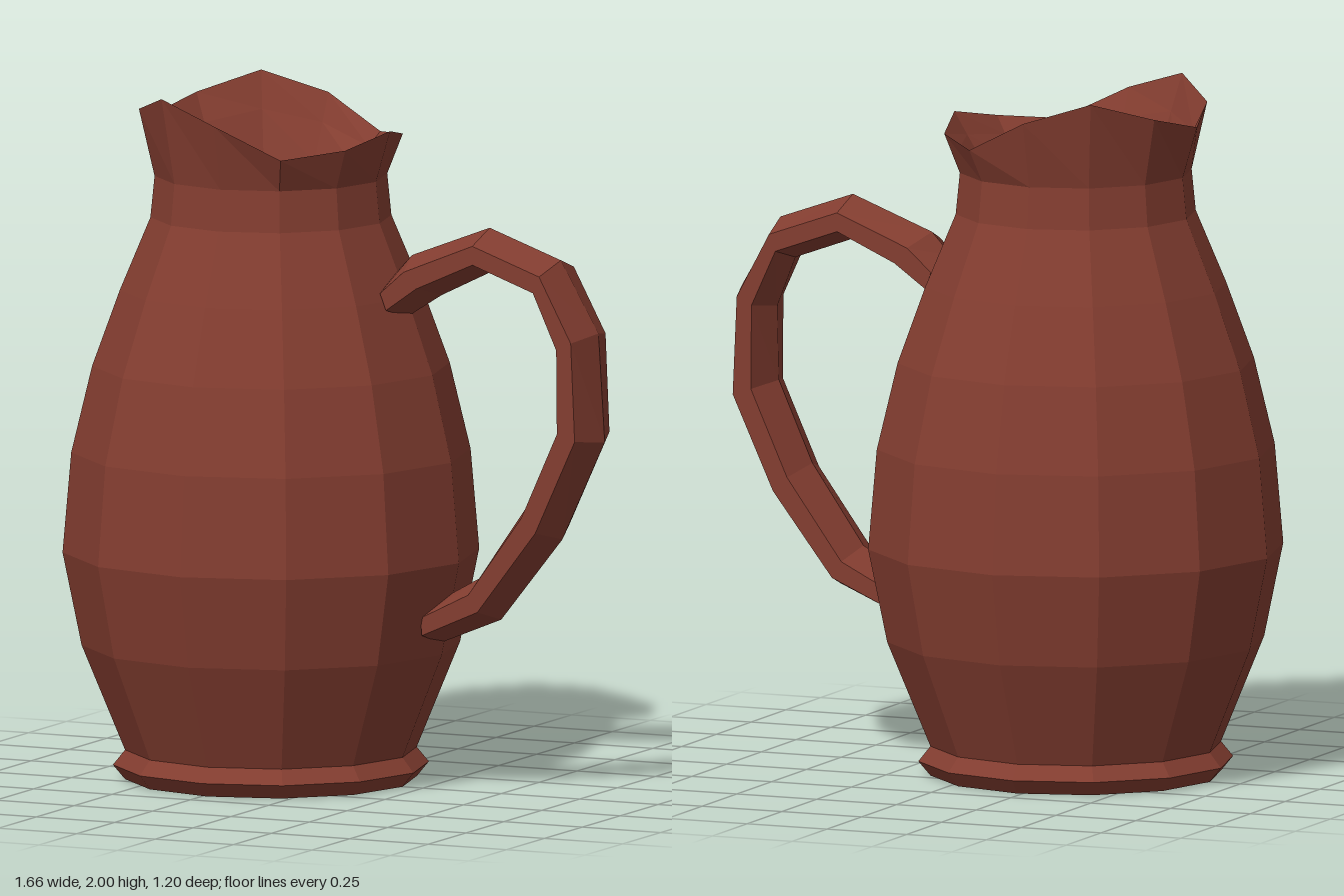
import * as THREE from 'three';

const SIDES = 12;
const AXIS_X = -0.235;

// Rim height every 30 degrees, from the handle side round to the opposite side
const RIM = [1.9, 1.865, 1.845, 1.94, 2.0, 1.945, 1.9];
const RIM_BASE = 1.9;

// Lathe whose upper rings follow the wavy rim
function turned(points, material, name) {
  const geo = new THREE.LatheGeometry(points.map(([r, y]) => new THREE.Vector2(r, y)), SIDES);
  const pos = geo.attributes.position;
  for (let i = 0; i < pos.count; i++) {
    const y = pos.getY(i);
    if (y <= 1.76) continue;
    const angle = Math.abs(Math.atan2(pos.getZ(i), pos.getX(i)));
    const wave = RIM[Math.round(angle / (Math.PI / 6))] - RIM_BASE;
    pos.setY(i, y + wave * (y - 1.75) / (RIM_BASE - 1.75));
  }
  geo.computeVertexNormals();
  const mesh = new THREE.Mesh(geo, material);
  mesh.name = name;
  mesh.position.x = AXIS_X;
  return mesh;
}

// Six-sided strap swept between an outer and an inner ridge line
function strap(outer, inner, halfWidth) {
  const section = [[0, 0], [0.3, 1], [0.72, 1], [1, 0], [0.72, -1], [0.3, -1]];
  const n = section.length;
  const verts = [];
  const index = [];
  outer.forEach(([ox, oy], i) => {
    const [ix, iy] = inner[i];
    for (const [t, w] of section) {
      verts.push(ox + (ix - ox) * t, oy + (iy - oy) * t, w * halfWidth);
    }
  });
  for (let i = 0; i < outer.length - 1; i++) {
    for (let j = 0; j < n; j++) {
      const a = i * n + j, b = i * n + (j + 1) % n;
      index.push(a, b, a + n, b, b + n, a + n);
    }
  }
  // End caps
  const last = (outer.length - 1) * n;
  for (let j = 1; j < n - 1; j++) {
    index.push(0, j + 1, j, last, last + j, last + j + 1);
  }
  const geo = new THREE.BufferGeometry();
  geo.setAttribute('position', new THREE.Float32BufferAttribute(verts, 3));
  geo.setIndex(index);
  geo.computeVertexNormals();
  return geo;
}

export function createModel() {
  const group = new THREE.Group();
  group.name = 'jug';
  const clay = new THREE.MeshStandardMaterial({
    color: 0x833d30, flatShading: true, side: THREE.DoubleSide,
  });

  // Foot, belly, neck and rim outside, then back down the inside to the floor
  group.add(turned([
    [0, 0], [0.42, 0], [0.455, 0.042], [0.42, 0.085],
    [0.545, 0.39], [0.6, 0.66], [0.575, 0.95], [0.515, 1.2], [0.435, 1.42],
    [0.347, 1.63], [0.335, 1.75], [0.38, RIM_BASE],
    [0.34, 1.835], [0.287, 1.75], [0.297, 1.63], [0.385, 1.41],
    [0.465, 1.19], [0.525, 0.94], [0.55, 0.66], [0.495, 0.4], [0.38, 0.1], [0, 0.1],
  ], clay, 'body'));

  // Handle, from the shoulder over and down to the belly
  const outer = [
    [0.155, 1.48], [0.215, 1.545], [0.463, 1.64], [0.69, 1.56], [0.81, 1.355],
    [0.83, 1.04], [0.695, 0.75], [0.5, 0.505], [0.305, 0.425],
  ];
  const inner = [
    [0.2, 1.365], [0.31, 1.435], [0.463, 1.51], [0.643, 1.445], [0.7, 1.3],
    [0.695, 1.085], [0.59, 0.85], [0.43, 0.62], [0.295, 0.545],
  ];
  const handle = new THREE.Mesh(strap(outer, inner, 0.115), clay);
  handle.name = 'handle';
  group.add(handle);

  return group;
}
